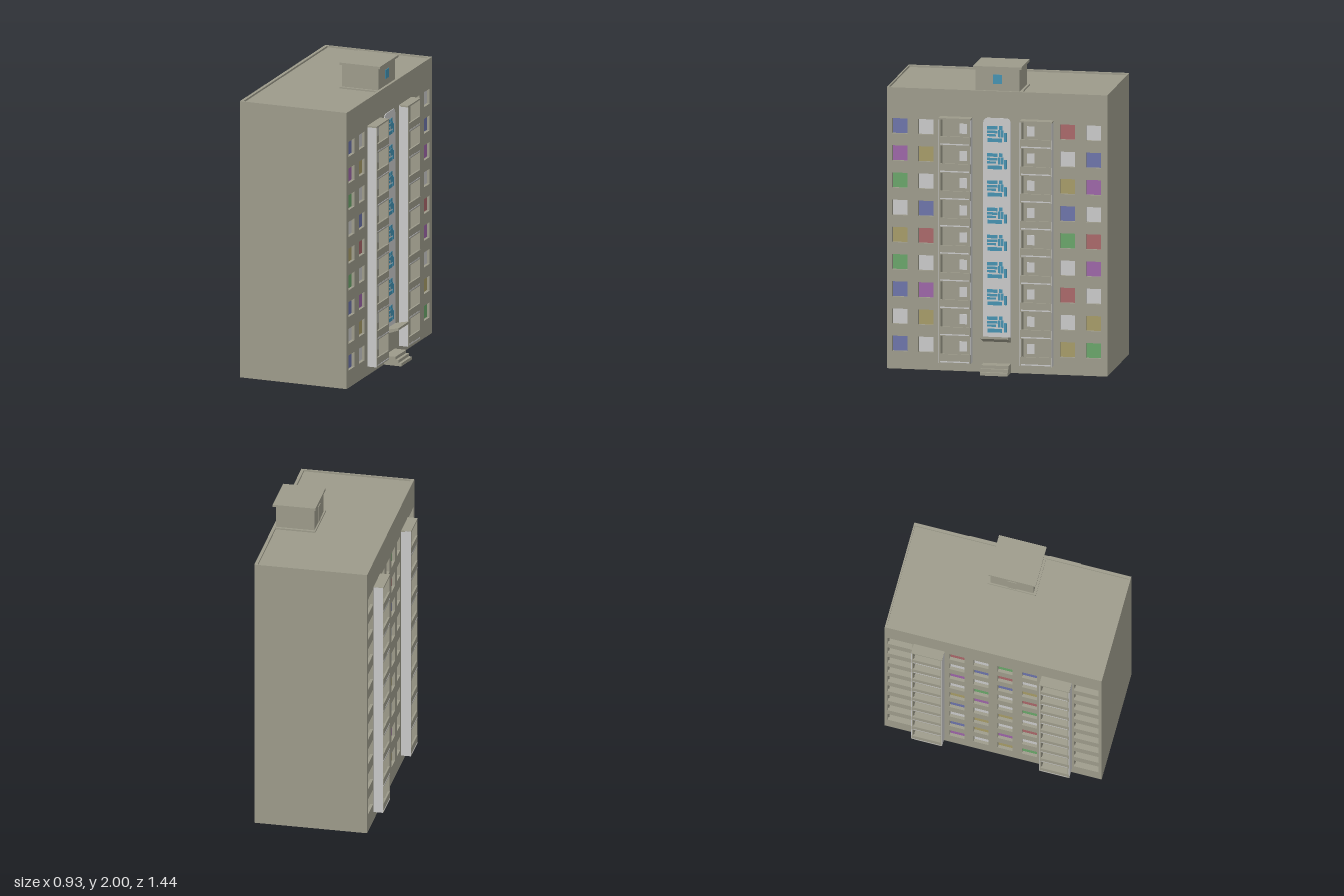
import * as THREE from 'three';

const FLOORS = 9, PITCH = 0.178, BASE = 0.06, WIN = 0.165;
const mat = (name, color, side = THREE.FrontSide) => {
  const m = new THREE.MeshStandardMaterial({ color, side });
  m.name = name;
  return m;
};

export function createModel() {
  const root = new THREE.Group();
  root.name = 'apartmentBlock';
  const concrete = mat('concrete', 0x9c9a8a);
  const light = mat('lightPanel', 0xc8c8c8);
  const glass = mat('blueGlass', 0x4391b0);
  const panes = {
    W: light,
    B: mat('bluePane', 0x6b72a8),
    P: mat('purplePane', 0x9b64a6),
    G: mat('greenPane', 0x68a468),
    Y: mat('yellowPane', 0xa59a66),
    R: mat('redPane', 0xa86668),
  };

  // Box given by its extents on each axis
  const box = (parent, name, m, x0, x1, y0, y1, z0, z1) => {
    const mesh = new THREE.Mesh(new THREE.BoxGeometry(x1 - x0, y1 - y0, z1 - z0), m);
    mesh.position.set((x0 + x1) / 2, (y0 + y1) / 2, (z0 + z1) / 2);
    mesh.name = name;
    parent.add(mesh);
    return mesh;
  };

  const rectHole = (shape, u0, u1, y0, y1) => {
    const p = new THREE.Path();
    p.moveTo(u0, y0);
    p.lineTo(u0, y1);
    p.lineTo(u1, y1);
    p.lineTo(u1, y0);
    p.closePath();
    shape.holes.push(p);
  };

  // Stack of balconies standing out from the wall; local +z is outward
  function balconyStack(parent, u0, u1, depth, doorU) {
    const g = new THREE.Group();
    g.name = 'balconyStack';
    parent.add(g);
    const top = BASE + FLOORS * PITCH;
    for (const [a, b, c, d] of [[u0, u0 + 0.004, u0 + 0.004, u0 + 0.012], [u1 - 0.004, u1, u1 - 0.012, u1 - 0.004]]) {
      box(g, 'sidePanel', light, a, b, BASE, top, 0, depth - 0.002);
      box(g, 'sideWall', concrete, c, d, BASE, top, 0, depth - 0.001);
    }
    box(g, 'topSlab', concrete, u0, u1, top - 0.008, top + 0.002, 0, depth);
    for (let i = 0; i < FLOORS; i++) {
      const y = BASE + i * PITCH;
      box(g, 'balconyFloor', concrete, u0 + 0.005, u1 - 0.005, y, y + 0.01, 0, depth - 0.01);
      box(g, 'parapet', concrete, u0 + 0.003, u1 - 0.003, y, y + 0.06, depth - 0.012, depth);
      box(g, 'parapetTrim', light, u0 + 0.01, u1 - 0.01, y + 0.006, y + 0.014, depth, depth + 0.001);
      box(g, 'balconyDoorPane', light, doorU - 0.024, doorU + 0.024, y + 0.07, y + 0.135, 0, 0.004);
    }
  }

  // Facade wall with window holes and coloured panes set behind it
  function facade(name, x, angle, columns, rows, paneWidth, loggias) {
    const g = new THREE.Group();
    g.name = name;
    g.position.x = x;
    g.rotation.y = angle;
    root.add(g);
    const wall = new THREE.Shape();
    wall.moveTo(-0.72, 0);
    wall.lineTo(0.72, 0);
    wall.lineTo(0.72, 1.84);
    wall.lineTo(-0.72, 1.84);
    wall.closePath();
    rows.forEach((row, r) => {
      const y = WIN + (FLOORS - 1 - r) * PITCH;
      columns.forEach((u, c) => {
        rectHole(wall, u - 0.05, u + 0.05, y - 0.05, y + 0.05);
        box(g, 'windowPane', panes[row[c]], u - paneWidth / 2, u + paneWidth / 2,
          y - PITCH / 2, y + PITCH / 2, -0.022, -0.016).position.z = -0.023;
      });
    });
    // Recessed loggias
    for (const [u0, u1] of loggias) {
      const top = BASE + FLOORS * PITCH;
      box(g, 'loggiaBack', concrete, u0 - 0.005, u1 + 0.005, BASE, top, -0.095, -0.085);
      box(g, 'loggiaSide', concrete, u0 - 0.01, u0, BASE, top, -0.09, -0.01);
      box(g, 'loggiaSide', concrete, u1, u1 + 0.01, BASE, top, -0.09, -0.01);
      for (let i = 0; i < FLOORS; i++) {
        const y = BASE + i * PITCH, mid = (u0 + u1) / 2;
        rectHole(wall, u0, u1, y + 0.06, y + 0.168);
        box(g, 'loggiaFloor', concrete, u0, u1, y - 0.008, y + 0.008, -0.09, -0.01);
        box(g, 'loggiaPane', light, mid - 0.024, mid + 0.024, y + 0.07, y + 0.135, -0.085, -0.081);
      }
      box(g, 'loggiaCeiling', concrete, u0, u1, top - 0.008, top + 0.002, -0.09, -0.01);
    }
    const geo = new THREE.ExtrudeGeometry(wall, { depth: 0.02, bevelEnabled: false });
    geo.translate(0, 0, -0.02);
    const mesh = new THREE.Mesh(geo, concrete);
    mesh.name = 'facadeWall';
    g.add(mesh);
    return g;
  }

  // Entrance side (+x), columns run from +z to -z
  const entrance = facade('entranceFacade', 0.34, Math.PI / 2, [-0.635, -0.465, 0.46, 0.63],
    ['BWRW', 'PYWB', 'GWYP', 'WBBW', 'YRGR', 'GWWP', 'BPRW', 'WYWY', 'BWYG'], 0.145, []);
  balconyStack(entrance, -0.37, -0.16, 0.065, -0.22);
  balconyStack(entrance, 0.16, 0.37, 0.065, 0.22);

  // Far side (-x), columns run from -z to +z
  const rear = facade('rearFacade', -0.4, -Math.PI / 2, [-0.24, -0.08, 0.08, 0.24],
    ['RWGB', 'WBRW', 'PWBY', 'WGWR', 'YPWG', 'BWYW', 'WYWR', 'BYPW', 'PWYG'], 0.16,
    [[-0.7, -0.535], [0.535, 0.7]]);
  balconyStack(rear, -0.527, -0.322, 0.065, -0.425);
  balconyStack(rear, 0.322, 0.522, 0.065, 0.425);

  // Light stairwell strip with rounded top
  const strip = new THREE.Shape();
  strip.moveTo(-0.09, 0.23);
  strip.lineTo(0.09, 0.23);
  strip.lineTo(0.09, 1.63);
  strip.quadraticCurveTo(0.09, 1.665, 0.055, 1.665);
  strip.lineTo(-0.055, 1.665);
  strip.quadraticCurveTo(-0.09, 1.665, -0.09, 1.63);
  strip.closePath();
  const stripMesh = new THREE.Mesh(new THREE.ExtrudeGeometry(strip, { depth: 0.004, bevelEnabled: false }), light);
  stripMesh.name = 'stairwellStrip';
  entrance.add(stripMesh);

  // Stairwell glazing: centre u, centre y, width, height
  const glazing = [
    [-0.03, 0.012, 0.07, 0.022], [-0.03, -0.015, 0.07, 0.016], [-0.035, -0.037, 0.06, 0.014],
    [-0.015, -0.069, 0.095, 0.024], [0.025, 0.013, 0.025, 0.024], [0.015, -0.025, 0.018, 0.046],
    [0.036, -0.025, 0.016, 0.046], [0.055, -0.048, 0.018, 0.06],
  ];
  for (let i = 1; i < FLOORS; i++) {
    for (const [u, dy, w, h] of glazing) {
      const y = WIN + i * PITCH + dy;
      box(entrance, 'stairwellGlass', glass, u - w / 2, u + w / 2, y - h / 2, y + h / 2, 0.004, 0.007);
    }
  }

  // Canopy rising outward over the entrance
  const slope = new THREE.Shape([[0, 0.2], [0.1, 0.237], [0.1, 0.252], [0, 0.23]].map(p => new THREE.Vector2(...p)));
  const canopyGeo = new THREE.ExtrudeGeometry(slope, { depth: 0.18, bevelEnabled: false });
  canopyGeo.translate(0.34, 0, -0.09);
  const canopy = new THREE.Mesh(canopyGeo, concrete);
  canopy.name = 'entranceCanopy';
  root.add(canopy);

  // Entrance steps
  [0.46, 0.44, 0.42].forEach((x, i) =>
    box(root, 'entranceStep', concrete, 0.34, x, i * 0.02, (i + 1) * 0.02, -0.09, 0.09));

  // End walls and roof with a low rim
  box(root, 'frontEndWall', concrete, -0.38, 0.32, 0, 1.84, 0.71, 0.72);
  box(root, 'backEndWall', concrete, -0.38, 0.32, 0, 1.84, -0.72, -0.71);
  box(root, 'roof', concrete, -0.385, 0.325, 1.815, 1.828, -0.712, 0.712);

  // Roof house
  box(root, 'roofHousePlinth', concrete, 0.06, 0.335, 1.828, 1.838, -0.16, 0.16);
  box(root, 'roofHouse', concrete, 0.07, 0.322, 1.828, 1.987, -0.143, 0.143);
  box(root, 'roofHouseCap', concrete, 0.06, 0.34, 1.985, 2, -0.158, 0.158);
  box(root, 'roofHouseWindow', glass, 0.322, 0.326, 1.885, 1.945, -0.03, 0.03);
  box(root, 'roofHouseDoor', concrete, 0.066, 0.07, 1.838, 1.95, -0.03, 0.03);

  return root;
}
